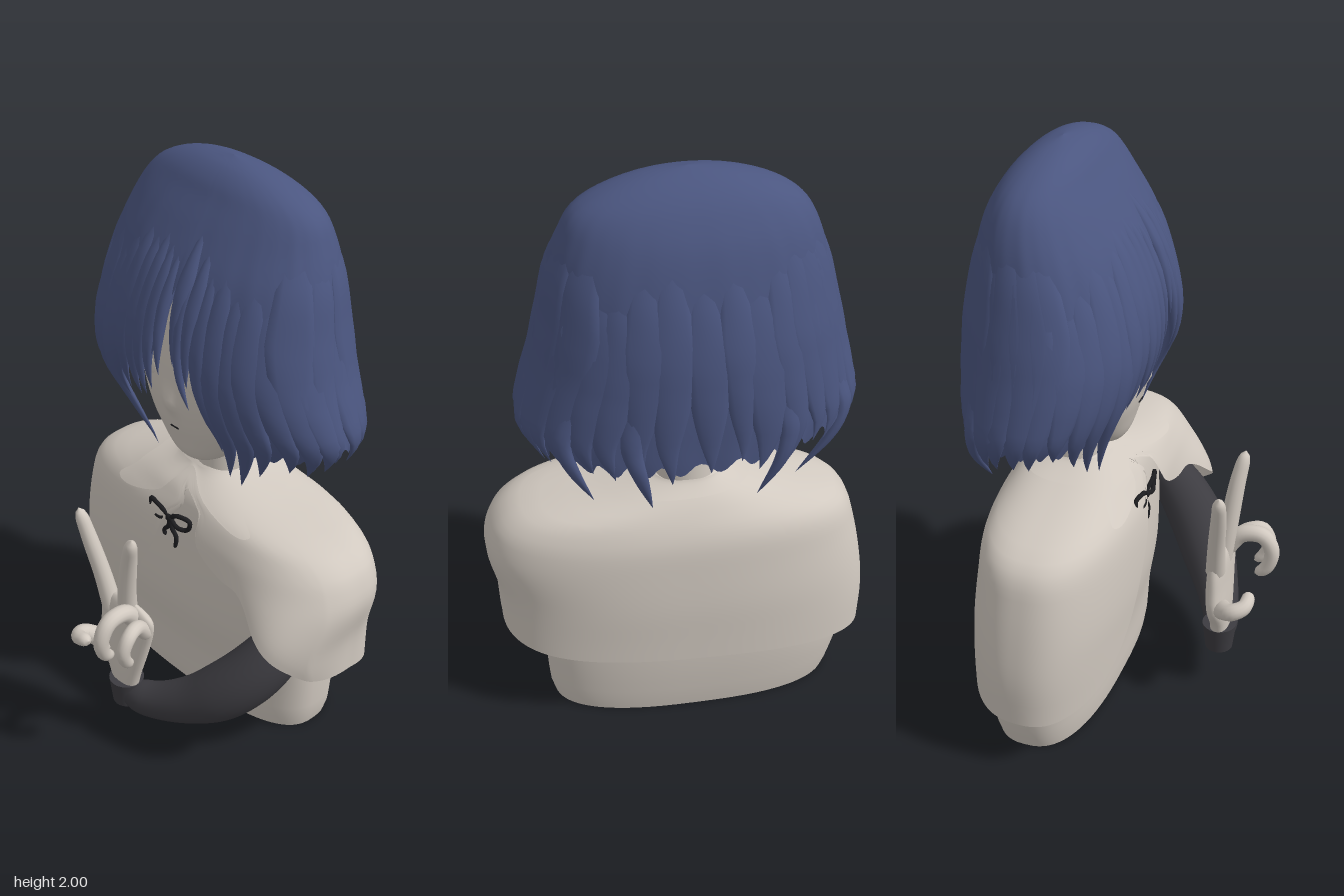
import * as THREE from 'three';

const mat = (name, color) => new THREE.MeshStandardMaterial({ name, color, side: THREE.DoubleSide });
const V = (x, y, z) => new THREE.Vector3(x, y, z);
const RAD = Math.PI / 180;

// Smooth lookup in rows of [key, ...values], keys ascending
function at(keys, k) {
  const n = keys.length;
  if (k <= keys[0][0]) return keys[0].slice(1);
  if (k >= keys[n - 1][0]) return keys[n - 1].slice(1);
  let i = 0;
  while (k > keys[i + 1][0]) i++;
  const a = keys[i], b = keys[i + 1], p = keys[Math.max(i - 1, 0)], q = keys[Math.min(i + 2, n - 1)];
  const h = b[0] - a[0], t = (k - a[0]) / h;
  return a.slice(1).map((_, j) => {
    const c = j + 1;
    const ma = (b[c] - p[c]) / (b[0] - p[0]) * h, mb = (q[c] - a[c]) / (q[0] - a[0]) * h;
    const t2 = t * t, t3 = t2 * t;
    return (2 * t3 - 3 * t2 + 1) * a[c] + (t3 - 2 * t2 + t) * ma + (3 * t2 - 2 * t3) * b[c] + (t3 - t2) * mb;
  });
}

// Skin over closed rings of points
function loft(rings) {
  const pos = [], idx = [], m = rings[0].length;
  rings.forEach(r => r.forEach(p => pos.push(p.x, p.y, p.z)));
  for (let i = 0; i < rings.length - 1; i++) for (let j = 0; j < m; j++) {
    const a = i * m + j, b = i * m + (j + 1) % m;
    idx.push(a, b, a + m, b, b + m, a + m);
  }
  const g = new THREE.BufferGeometry();
  g.setAttribute('position', new THREE.Float32BufferAttribute(pos, 3));
  g.setIndex(idx);
  g.computeVertexNormals();
  return g;
}

// Point on a body whose rows are [y, xMin, xMax, zBack, zFront]; 0 deg = +x, 90 deg = +z
function onBody(keys, deg, y, n = 2.2, scale = 1) {
  const [x0, x1, z0, z1] = at(keys, y), c = Math.cos(deg * RAD), s = Math.sin(deg * RAD);
  const pw = v => Math.sign(v) * Math.pow(Math.abs(v), 2 / n) * scale;
  return V((x0 + x1) / 2 + (x1 - x0) / 2 * pw(c), y, (z0 + z1) / 2 + (z1 - z0) / 2 * pw(s));
}

// Draped shell from yTop down to a hem that varies with the angle
function drape(keys, yTop, hem, { n = 2.2, segs = 160, rows = 26, power = 1.5, scale = () => 1, tweak = p => p } = {}) {
  const rings = [];
  for (let i = 0; i <= rows; i++) {
    const t = Math.pow(i / rows, power), ring = [];
    for (let j = 0; j < segs; j++) {
      const d = j / segs * 360;
      ring.push(tweak(onBody(keys, d, yTop + (hem(d) - yTop) * t, n, scale(d, t))));
    }
    rings.push(ring);
  }
  return loft(rings);
}

// Tapered tube with an optional rounded tip; radii spread evenly along the path
function limb(points, radii, round = true, steps = 28, sides = 14) {
  const curve = new THREE.CatmullRomCurve3(points.map(p => V(...p)));
  const f = curve.computeFrenetFrames(steps), rings = [];
  const keys = radii.map((r, i) => [i / (radii.length - 1), r]);
  for (let i = 0; i <= steps; i++) {
    const t = i / steps, c = curve.getPointAt(t), e = Math.min(1, (1 - t) * 8);
    const r = at(keys, t)[0] * (round ? Math.sqrt(Math.max(0, 1 - (1 - e) ** 2)) : 1);
    rings.push(Array.from({ length: sides }, (_, j) => {
      const a = j / sides * Math.PI * 2;
      return c.clone().addScaledVector(f.normals[i], Math.cos(a) * r).addScaledVector(f.binormals[i], Math.sin(a) * r);
    }));
  }
  return loft(rings);
}

const TORSO = [[0, -.52, .44, -.38, -.015], [.02, -.53, .45, -.385, -.01], [.2, -.57, .46, -.4, .005], [.4, -.57, .46, -.4, .035],
  [.65, -.5, .46, -.38, .03], [.8, -.38, .42, -.35, .01], [.86, -.22, .26, -.31, -.02], [.92, -.12, .08, -.28, -.09]];
const CAPE = [[.2, -.635, .6, -.44, .07], [.36, -.64, .6, -.44, .08], [.5, -.625, .605, -.44, .09], [.65, -.595, .635, -.43, .09],
  [.74, -.565, .615, -.42, .08], [.79, -.51, .58, -.405, .065], [.84, -.37, .49, -.38, .04], [.88, -.26, .28, -.35, .01],
  [.93, -.15, .11, -.3, -.05], [.96, -.135, .09, -.29, -.07]];
const CAPE_HEM = [[0, .36], [18, .39], [33, .48], [52, .58], [65, .67], [75, .68], [84, .74], [88, .86], [92, .86], [97, .6],
  [104, .38], [120, .25], [150, .2], [180, .2], [225, .24], [270, .28], [320, .31], [360, .36]];
const COLLAR_HEM = [[0, .895], [40, .885], [58, .85], [72, .85], [86, .925], [94, .925], [110, .81], [122, .805], [134, .86], [160, .895], [360, .895]];
const HEAD = [[.975, -.05, .01, -.12, -.04], [.99, -.1, .06, -.18, -.015], [1.02, -.14, .1, -.23, .005], [1.08, -.195, .155, -.29, .025],
  [1.15, -.24, .2, -.34, .045], [1.25, -.28, .24, -.38, .06], [1.4, -.31, .27, -.41, .06], [1.6, -.31, .27, -.41, .03],
  [1.75, -.25, .21, -.36, -.05], [1.86, -.02, -.02, -.19, -.19]];
const HAIR = [[.95, -.38, .36, -.45, -.02], [1.1, -.5, .46, -.475, .03], [1.2, -.545, .505, -.475, .07], [1.28, -.53, .485, -.475, .1],
  [1.4, -.5, .445, -.47, .118], [1.55, -.47, .415, -.46, .1], [1.7, -.44, .395, -.435, .05], [1.82, -.4, .355, -.4, -.02],
  [1.9, -.345, .31, -.355, -.075], [1.95, -.26, .22, -.31, -.11], [1.985, -.14, .1, -.255, -.155], [2, -.02, -.02, -.205, -.205]];
const HAIR_HEM = [[0, 1.18], [40, 1.17], [64, 1.18], [70, 1.32], [76, 1.47], [83, 1.56], [86, 1.66], [89, 1.5], [95, 1.38], [108, 1.32],
  [116, 1.22], [125, 1.16], [180, 1.18], [230, 1.15], [270, 1.12], [320, 1.13], [360, 1.18]];

// Tapered strand that rises out of the hair surface and follows it down
function lock([deg, yTop, yTip, w, sway = 0]) {
  const rings = [], steps = 20;
  for (let i = 0; i <= steps; i++) {
    const t = i / steps, d = deg + sway * t * t, y = yTop + (yTip - yTop) * t;
    const s = onBody(HAIR, d + 1, y).sub(onBody(HAIR, d - 1, y)).normalize();
    const down = onBody(HAIR, d, y - .01).sub(onBody(HAIR, d, y + .01)).normalize();
    const out = s.clone().cross(down).normalize();
    const c = onBody(HAIR, d, y).addScaledVector(out, -.022 + .022 * Math.min(1, t * 2));
    const k = Math.min(1, .35 + t * 1.6) * (1 - Math.pow(t, 3));
    rings.push(Array.from({ length: 10 }, (_, j) => {
      const a = j / 10 * Math.PI * 2;
      return c.clone().addScaledVector(s, Math.sin(a) * w * k).addScaledVector(out, Math.cos(a) * .019 * Math.min(1, k * 1.4));
    }));
  }
  return loft(rings);
}

export function createModel() {
  const skin = mat('warm grey', 0xd1c9c0), blue = mat('hair blue', 0x4b5680);
  const dark = mat('sleeve charcoal', 0x3d3c41), black = mat('ribbon black', 0x1d1d20);
  const root = new THREE.Group();
  const add = (name, geo, m, parent = root) => {
    const mesh = new THREE.Mesh(geo, m);
    mesh.name = name;
    parent.add(mesh);
    return mesh;
  };
  const group = name => { const g = new THREE.Group(); g.name = name; root.add(g); return g; };

  // Torso with a recessed base, cape and collar
  add('torso', drape(TORSO, .92, () => 0, { n: 2.6, segs: 72, power: 1.3 }), skin);
  const base = [[1, 0], [.96, 0], [.93, .025], [.01, .03]].map(([s, y]) =>
    Array.from({ length: 72 }, (_, j) => onBody(TORSO, j * 5, 0, 2.6, s).setY(y)));
  add('torsoBase', loft(base), skin);
  const liftByArm = p => {
    if (p.x > 0 && p.z > -.18) {
      const b = Math.exp(-(((p.x - .47) / .17) ** 2) - ((p.y - .5) / .2) ** 2) * Math.min(1, (p.z + .18) / .12);
      p.z += .12 * b;
      p.x += .04 * b;
    }
    return p;
  };
  add('cape', drape(CAPE, .93, d => at(CAPE_HEM, d)[0], { n: 2.5, segs: 240, tweak: liftByArm }), skin);
  add('collar', drape(CAPE, .94, d => at(COLLAR_HEM, d)[0], { n: 2.5, segs: 180, rows: 10, power: 1, scale: (d, t) => 1.06 + .03 * t }), skin);
  add('neck', new THREE.CylinderGeometry(.092, .1, .26, 32), skin).position.set(-.02, .97, -.185);

  // Head with the nose drawn out of the face
  const head = group('head');
  const headRings = Array.from({ length: 57 }, (_, i) => {
    const y = 1.4175 + .4425 * Math.cos(i / 56 * Math.PI);
    return Array.from({ length: 120 }, (_, j) => {
      const p = onBody(HEAD, j * 3, y);
      if (p.z > 0) p.z += .022 * Math.exp(-(((p.x + .02) / .028) ** 2) - ((y - 1.235) / .04) ** 2);
      return p;
    });
  });
  add('skull', loft(headRings), skin, head);
  for (const s of [-1, 1]) {
    const x = -.02 + s * .13;
    const eye = add('eye', new THREE.SphereGeometry(1, 24, 12), skin, head);
    eye.position.set(x, 1.325, .045);
    eye.scale.set(.06, .036, .006);
    eye.rotation.y = s * .2;
    add('eyelash', limb([[x - .065, 1.335, .053 - (s < 0 ? .02 : 0)], [x, 1.355, .052], [x + .065, 1.335, .053 - (s > 0 ? .02 : 0)]], [.002, .004, .002], false, 12, 6), black, head);
    const ear = add('ear', new THREE.SphereGeometry(.06, 16, 12), skin, head);
    ear.position.set(-.02 + s * .275, 1.24, -.2);
    ear.scale.set(.35, 1, .65);
  }
  add('mouth', new THREE.BoxGeometry(.035, .005, .006), black, head).position.set(-.02, 1.13, .04);

  // Hair: ridged cap with a ragged hem, then long overlaid strands
  const hair = group('hair');
  const ridge = d => Math.sin(d * RAD * 17) + .6 * Math.sin(d * RAD * 29 + 1);
  add('hairCap', drape(HAIR, 2, d => at(HAIR_HEM, d)[0] + .02 * Math.sin(d * RAD * 31),
    { segs: 240, rows: 36, power: 1.8, scale: (d, t) => 1 + .008 * ridge(d) * t }), blue, hair);
  const locks = [[142, 1.75, 1.06, .07, -4], [131, 1.85, .98, .065, -3], [122, 1.8, .94, .055, -5], [114, 1.85, 1.12, .055, 2],
    [108, 1.88, 1.2, .05, 1], [102, 1.86, 1.21, .045], [97, 1.88, 1.23, .038, 1], [92.5, 1.85, 1.28, .033, 1],
    [89, 1.82, 1.36, .025], [82, 1.88, 1.42, .033], [80, 1.83, 1.27, .025, -2], [75, 1.85, 1.36, .033, 1], [70, 1.83, 1.12, .04, -2],
    [63, 1.86, 1.0, .055, 2], [55, 1.8, .97, .055, 3], [47, 1.82, 1.05, .065, 2], [37, 1.75, 1.1, .07, -3]];
  let seed = 7;
  const rnd = () => (seed = seed * 16807 % 2147483647) / 2147483647;
  for (let d = 154; d < 388; d += 10.5) locks.push([d, 1.7 + rnd() * .2, 1.06 + rnd() * .08, .07 + rnd() * .025, rnd() * 8 - 4]);
  for (const d of [208, 240, 292, 318]) locks.push([d, 1.5, .96, .04, rnd() * 10 - 5]);
  locks.forEach(l => add('hairLock', lock(l), blue, hair));

  // Neck ribbon: two loops, two tails and a knot
  const bow = group('ribbonBow');
  const K = [-.025, .77, .06];
  for (const s of [-1, 1]) {
    const p = (x, y, z = 0) => [K[0] + s * x, K[1] + y, K[2] + z];
    add('bowLoop', limb([K, p(.05, .035, .01), p(.095, .03), p(.085, -.008), p(.045, -.015, .01), K], [.008, .008], false, 28, 8), black, bow);
    add('bowTail', limb([K, p(.008, -.04), p(.03, -.07), p(.022, s < 0 ? -.09 : -.12)], [.009, .007], true, 16, 8), black, bow);
  }
  add('bowKnot', new THREE.SphereGeometry(.016, 12, 10), black, bow).position.set(...K);

  // Raised arm with a cuff, and hand
  const arm = group('leftArm');
  add('sleeve', limb([[.47, .57, -.06], [.465, .49, .02], [.41, .375, .12], [.31, .275, .205], [.18, .21, .275], [.08, .19, .31], [.02, .195, .32]],
    [.07, .09, .1, .098, .08, .064, .056], true, 48, 24), dark, arm);
  add('cuff', new THREE.CylinderGeometry(.06, .048, .1, 24), dark, arm).position.set(.03, .2, .318);
  const PALM = [[.2, -.015, .075, .29, .35], [.28, -.04, .095, .29, .355], [.36, -.085, .12, .285, .355], [.45, -.085, .145, .28, .35],
    [.54, -.075, .165, .285, .345], [.58, -.05, .15, .295, .335], [.6, .02, .08, .31, .32]];
  add('palm', drape(PALM, .6, () => .2, { n: 2.4, segs: 32, rows: 20 }), skin, arm);
  const finger = (name, pts, r) => add(name, limb(pts, r), skin, arm);
  finger('indexFinger', [[-.035, .52, .315], [-.07, .65, .325], [-.11, .78, .34], [-.15, .89, .35]], [.034, .03, .027, .021]);
  finger('middleFinger', [[.045, .52, .315], [.06, .65, .33], [.09, .8, .345], [.125, .915, .362]], [.034, .031, .028, .021]);
  finger('ringFinger', [[.085, .54, .32], [.09, .6, .37], [.095, .605, .44], [.095, .55, .475], [.09, .48, .46], [.085, .45, .42]], [.032, .029, .026, .021]);
  finger('littleFinger', [[.135, .52, .32], [.15, .575, .37], [.17, .58, .42], [.172, .53, .448], [.165, .475, .43], [.155, .45, .4]], [.028, .025, .023, .019]);
  finger('thumb', [[-.03, .36, .335], [-.075, .39, .36], [-.1, .41, .395], [-.08, .425, .43], [-.02, .445, .435]], [.036, .032, .027, .021]);
  return root;
}
